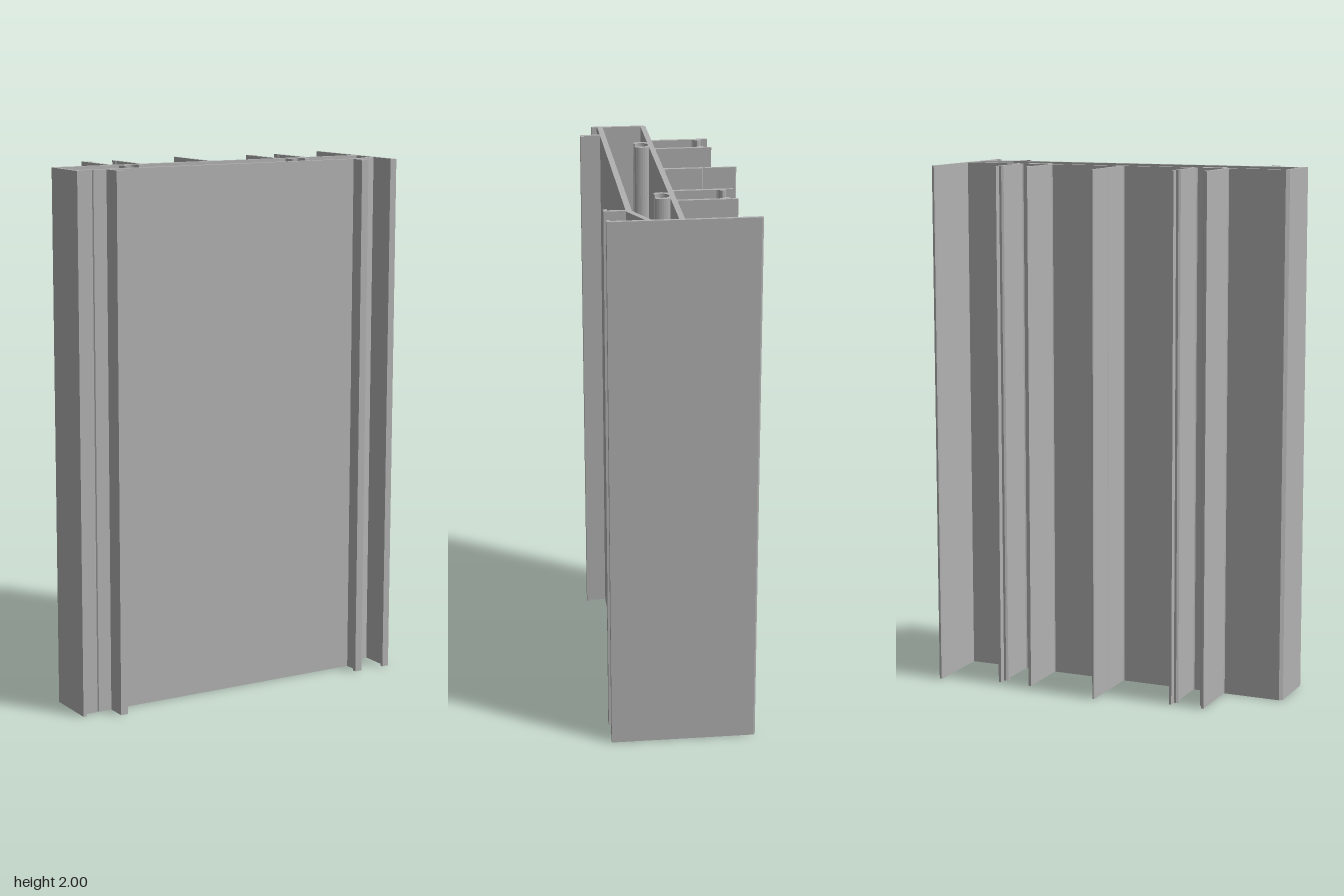
import * as THREE from 'three';

const HEIGHT = 2;

export function createModel() {
  const group = new THREE.Group();
  group.name = 'extrudedProfile';
  const aluminium = new THREE.MeshStandardMaterial({ color: 0xb2b2b2 });
  aluminium.name = 'aluminium grey';

  // Extrude a plan shape (x, -z) straight up
  function addShape(name, shape) {
    const geo = new THREE.ExtrudeGeometry(shape, { depth: HEIGHT, bevelEnabled: false, curveSegments: 10 });
    geo.rotateX(-Math.PI / 2);
    const mesh = new THREE.Mesh(geo, aluminium);
    mesh.name = name;
    group.add(mesh);
  }
  // Plan outline given as [x, z] points, optionally mirrored in x
  function addPlan(name, points, side = 1) {
    addShape(name, new THREE.Shape(points.map(([x, z]) => new THREE.Vector2(x * side, -z))));
  }

  // Box section: back plate, left-hand wall, front plate with fine groove, sloped web
  addPlan('backPlate', [[-0.648, 0], [0.65, 0], [0.65, 0.02], [-0.648, 0.02]]);
  addPlan('endWall', [[-0.664, 0.012], [-0.652, 0], [-0.648, 0], [-0.648, 0.19],
    [-0.652, 0.192], [-0.652, 0.213], [-0.664, 0.213]]);
  addPlan('frontPlate', [[-0.648, 0.169], [0.537, 0.169], [0.543, 0.19], [-0.588, 0.19],
    [-0.592, 0.186], [-0.596, 0.19], [-0.648, 0.19]]);
  addPlan('slopedWeb', [[0.537, 0.169], [0.65, 0.114], [0.65, 0.136], [0.543, 0.19]]);

  // Tall side flange with rounded back edge and small front lip
  addPlan('sideFlange', [[0.65, -0.262], [0.653, -0.268], [0.661, -0.268], [0.664, -0.262],
    [0.664, 0.267], [0.637, 0.267], [0.637, 0.253], [0.65, 0.253]]);

  // Tapered centre fin with filleted root
  addPlan('centreFin', [[-0.012, 0], [-0.008, -0.006], [-0.0075, -0.14], [-0.005, -0.145], [-0.005, -0.264],
    [-0.002, -0.268], [0.002, -0.268], [0.005, -0.264], [0.005, -0.145], [0.0075, -0.14],
    [0.008, -0.006], [0.012, 0]]);

  for (const side of [-1, 1]) {
    // Front hooks turned toward the centre
    addPlan('frontHook', [[0.521, 0.19], [0.536, 0.19], [0.536, 0.267], [0.507, 0.267],
      [0.507, 0.253], [0.521, 0.253]], side);

    // Pair of clip fins, each with a bead facing the other
    for (const [edge, dir] of [[0.289, 1], [0.429, -1]]) {
      const profile = [[-0.003, 0], [0, -0.004], [0, -0.214], [0.01, -0.214], [0.01, -0.188], [0.019, -0.188],
        [0.026, -0.182], [0.028, -0.173], [0.024, -0.166], [0.018, -0.161], [0.015, -0.154],
        [0.015, -0.004], [0.019, 0]];
      addPlan('clipFin', profile.map(([x, z]) => [edge + dir * x, z]), side);
    }

    // Screw channel: two curled arms below the back plate
    for (const dir of [-1, 1]) {
      const arm = [];
      const arc = (r, from, to, n) => {
        for (let i = 0; i <= n; i++) {
          const a = THREE.MathUtils.degToRad(from + (to - from) * i / n);
          arm.push([side * 0.359 + dir * r * Math.cos(a), 0.047 - r * Math.sin(a)]);
        }
      };
      arc(0.027, 90, -53, 12);
      arm.push([side * 0.359 + dir * 0.018, 0.073], [side * 0.359 + dir * 0.032, 0.073]);
      arc(0.045, -30, 37, 6);
      addPlan('screwChannelArm', arm);
    }
  }
  return group;
}
